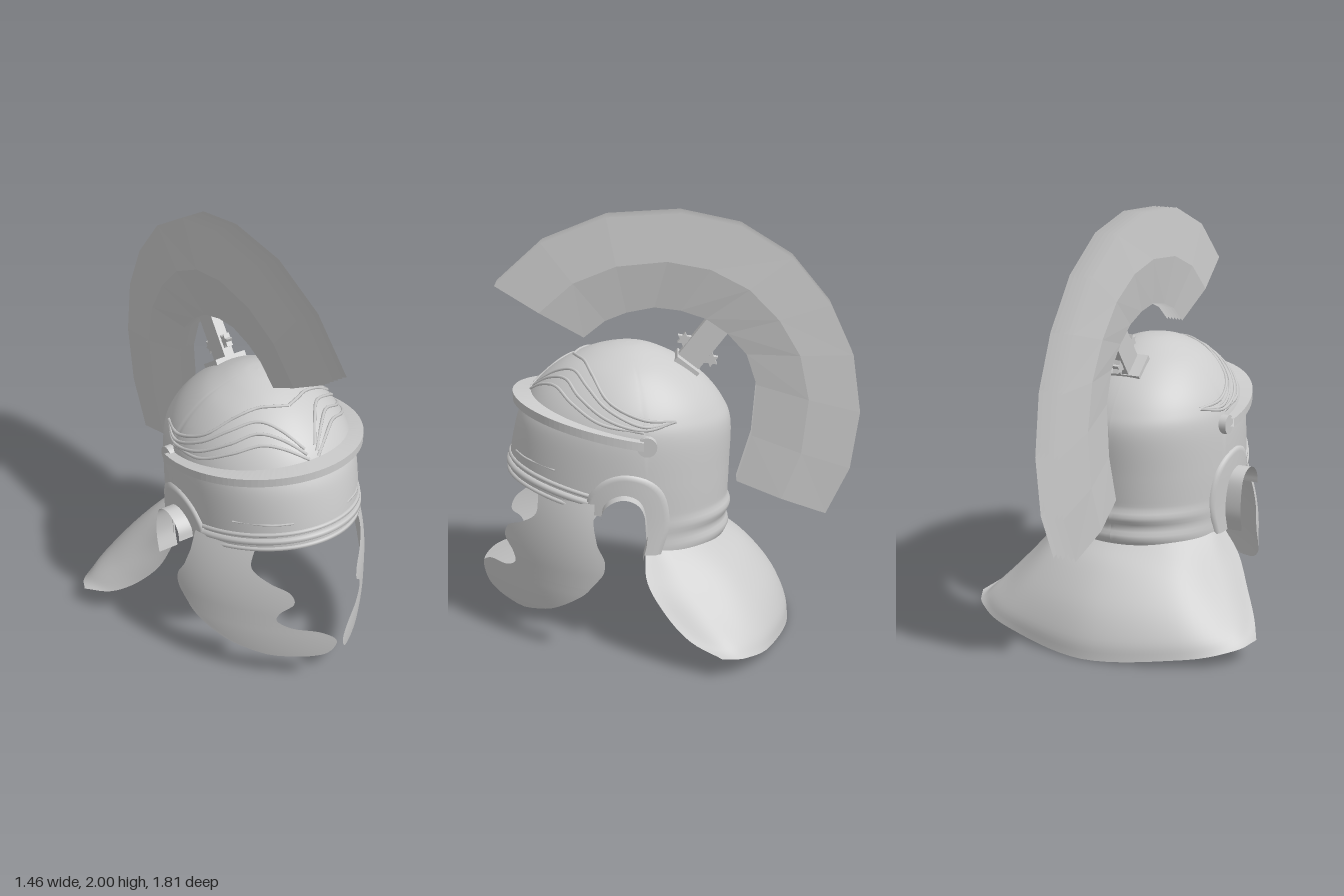
import * as THREE from 'three';

const V = (x, y, z) => new THREE.Vector3(x, y, z);
const mat = new THREE.MeshStandardMaterial({ color: 0xcccccc, side: THREE.DoubleSide });
const flatMat = new THREE.MeshStandardMaterial({ color: 0xcccccc, side: THREE.DoubleSide, flatShading: true });
const spline = pts => new THREE.CatmullRomCurve3(pts, false, 'catmullrom');

// Grid surface from a rule fn(u, v) -> Vector3
function grid(nu, nv, fn) {
  const pos = [], idx = [];
  for (let j = 0; j <= nv; j++) for (let i = 0; i <= nu; i++) pos.push(...fn(i / nu, j / nv).toArray());
  for (let j = 0; j < nv; j++) for (let i = 0; i < nu; i++) {
    const a = j * (nu + 1) + i, b = a + 1, c = a + nu + 1, d = c + 1;
    idx.push(a, b, d, a, d, c);
  }
  const g = new THREE.BufferGeometry();
  g.setAttribute('position', new THREE.Float32BufferAttribute(pos, 3));
  g.setIndex(idx);
  g.computeVertexNormals();
  return g;
}

// Bowl profile: height, front depth, back depth, half width (about z = 0.2)
const CZ = 0.2, TOP = 1.385;
const profile = [
  [0.44, 0.565, 0.46, 0.42], [0.6, 0.57, 0.475, 0.42], [0.8, 0.565, 0.485, 0.425], [1.0, 0.53, 0.49, 0.42],
  [1.1, 0.49, 0.455, 0.395], [1.2, 0.42, 0.38, 0.335], [1.29, 0.31, 0.27, 0.25], [1.35, 0.19, 0.16, 0.15],
  [1.378, 0.08, 0.075, 0.07], [TOP, 0, 0, 0],
];
const depthTable = spline(profile.map(p => V(p[1], p[0], p[2]))).getPoints(180);
const widthTable = spline(profile.map(p => V(p[3], p[0], 0))).getPoints(180);

function section(y) {
  let i = 0;
  while (i < 179 && depthTable[i + 1].y < y) i++;
  const a = depthTable[i], b = depthTable[i + 1];
  const t = THREE.MathUtils.clamp((y - a.y) / (b.y - a.y), 0, 1), mix = THREE.MathUtils.lerp;
  return { f: mix(a.x, b.x, t), b: mix(a.z, b.z, t), w: mix(widthTable[i].x, widthTable[i + 1].x, t) };
}

// Point on the bowl at angle a (0 = front, PI = back), pushed out by d; soft ribs cross the nape
function onBowl(a, y, d = 0) {
  const s = section(y), c = Math.cos(a);
  const rib = c < 0 && y < 0.65 ? 0.009 * c * c * (1 + Math.cos((y - 0.5) * 20 * Math.PI)) : 0;
  return V((s.w + d + rib) * Math.sin(a), y, CZ + c * ((c > 0 ? s.f : s.b) + d + rib));
}
function bowlX(z, y) {
  const s = section(y), k = (z - CZ) / (z > CZ ? s.f : s.b);
  return s.w * Math.sqrt(Math.max(0, 1 - k * k));
}

// Lower rim: sloping brow, ear arch, deep nape
const browY = z => 0.68 + (z - 0.38) * 0.23;
function rimY(z) {
  if (z > 0.31) return browY(z);
  if (z < 0.105) return 0.46;
  return 0.66 + 0.11 * Math.sqrt(Math.max(0, 1 - ((z - 0.205) / 0.105) ** 2));
}

export function createModel() {
  const root = new THREE.Group();
  const add = (name, geo, parent = root, m = mat) => {
    const mesh = new THREE.Mesh(geo, m);
    mesh.name = name;
    parent.add(mesh);
    return mesh;
  };
  const group = name => {
    const g = new THREE.Group();
    g.name = name;
    root.add(g);
    return g;
  };
  const ridge = (name, pts, r, parent) => add(name, new THREE.TubeGeometry(spline(pts), 48, r, 6), parent);

  // Bowl
  add('bowl', grid(144, 80, (u, v) => {
    const a = (u * 2 - 1) * Math.PI, low = rimY(onBowl(a, 0.7).z);
    return onBowl(a, low + (TOP - low) * Math.sin(v * Math.PI / 2));
  }));

  // Brow mouldings along the front rim
  const ridges = group('mouldings');
  for (const [h, r] of [[0.01, 0.012], [0.05, 0.018], [0.085, 0.012]]) {
    const pts = [];
    for (let i = -16; i <= 16; i++) {
      const a = i / 16 * 1.27;
      pts.push(onBowl(a, browY(onBowl(a, 0.75).z) + h, -0.002));
    }
    ridge('browMoulding', pts, r, ridges);
  }

  // Embossed eyebrows and short brow lines: [angle, height] paths on both sides
  const brows = [
    [[0, 1.325], [0.35, 1.33], [0.7, 1.325], [1.05, 1.29], [1.4, 1.19], [1.75, 1.12], [2.1, 1.1]],
    [[0.08, 1.2], [0.35, 1.27], [0.7, 1.29], [1.1, 1.24], [1.4, 1.16], [1.75, 1.09], [2.1, 1.1]],
    [[0.07, 1.18], [0.35, 1.24], [0.7, 1.255], [1.05, 1.2], [1.4, 1.12], [1.75, 1.075], [2.1, 1.1]],
    [[0.06, 1.16], [0.35, 1.21], [0.65, 1.22], [1.0, 1.17], [1.35, 1.1], [1.75, 1.065]],
    [[0.35, 0.895], [0.6, 0.885], [0.95, 0.865]],
  ];
  for (const s of [1, -1]) brows.forEach((path, i) =>
    ridge(i < 4 ? 'embossedEyebrow' : 'browLine', path.map(([a, y]) => onBowl(a * s, y, 0.001)), i < 4 ? 0.008 : 0.005, ridges));

  // Brow guard: a sloping bar of rectangular section, ending in round bosses
  const guard = group('browGuard');
  add('browBar', grid(64, 4, (u, v) => {
    const a = (u * 2 - 1) * 1.75, k = Math.round(v * 4) % 4;
    const c = Math.cos(a), out = k === 1 || k === 2;
    const p = V(0.46 * Math.sin(a), 0, CZ + c * (c > 0 ? 0.54 : 0.48));
    p.y = 0.99 + 0.2 * p.z + (k < 2 ? -0.02 : 0.02);
    if (!out) { const q = onBowl(a, p.y, -0.01); p.x = q.x; p.z = q.z; }
    return p;
  }).toNonIndexed(), guard, flatMat);
  for (const s of [1, -1]) {
    const boss = add('browBoss', new THREE.CylinderGeometry(0.046, 0.046, 0.06, 20), guard);
    boss.rotation.z = Math.PI / 2;
    boss.position.set(s * 0.405, 1.005, 0.1);
  }

  // Ear guards: raised flange on the bowl plus an arched lip
  const outer = spline([[0.38, 0.68], [0.37, 0.76], [0.3, 0.84], [0.2, 0.87], [0.09, 0.84], [0.02, 0.76], [0, 0.62], [0.04, 0.47]].map(([z, y]) => V(0, y, z)));
  const inner = spline([[0.31, 0.67], [0.3, 0.72], [0.26, 0.76], [0.2, 0.775], [0.14, 0.75], [0.11, 0.69], [0.1, 0.58], [0.12, 0.48]].map(([z, y]) => V(0, y, z)));
  for (const s of [1, -1]) {
    const ear = group(s > 0 ? 'leftEarGuard' : 'rightEarGuard');
    add('earFlange', grid(5, 40, (u, v) => {
      const p = outer.getPoint(v).lerp(inner.getPoint(v), u < 0.3 ? 0 : (u - 0.2) / 0.8);
      p.x = s * (bowlX(p.z, p.y) + (u < 0.1 ? -0.01 : 0.012));
      return p;
    }), ear);
    add('earLip', grid(2, 40, (u, v) => {
      const p = inner.getPoint(v);
      p.x = s * (0.4 + 0.1 * u);
      return p;
    }), ear);
  }

  // Neck guard: flaring sheet lofted through mirrored ribs, nape to rim
  const ribs = [
    [[0, 0.47, -0.262], [0, 0.385, -0.38], [0, 0.24, -0.5], [0, 0.1, -0.565], [0, 0, -0.58]],
    [[0.24, 0.48, -0.18], [0.32, 0.37, -0.29], [0.39, 0.24, -0.39], [0.44, 0.12, -0.455], [0.46, 0.04, -0.475]],
    [[0.375, 0.49, -0.005], [0.46, 0.36, -0.09], [0.555, 0.24, -0.19], [0.635, 0.14, -0.29], [0.665, 0.075, -0.35]],
    [[0.412, 0.49, 0.11], [0.495, 0.37, 0.1], [0.58, 0.24, 0.01], [0.66, 0.15, -0.1], [0.73, 0.1, -0.24]],
  ];
  const ribCurve = (r, s) => spline(r.map(([x, y, z]) => V(x * s, y, z)));
  const allRibs = [...ribs.slice(1).reverse().map(r => ribCurve(r, -1)), ...ribs.map(r => ribCurve(r, 1))];
  add('neckGuard', grid(48, 20, (u, v) => spline(allRibs.map(c => c.getPoint(v))).getPoint(u)));

  // Cheek guards: rows of [height, front z, rear z], bowed inwards at the chin
  const rows = [
    [0.73, 0.61, 0.34], [0.64, 0.62, 0.345], [0.58, 0.69, 0.335], [0.54, 0.76, 0.325], [0.48, 0.78, 0.295],
    [0.42, 0.74, 0.3], [0.37, 0.73, 0.335], [0.335, 0.78, 0.365], [0.325, 0.86, 0.37], [0.28, 0.905, 0.42],
    [0.2, 0.88, 0.54], [0.165, 0.82, 0.63], [0.148, 0.73, 0.69],
  ];
  const frontEdge = spline(rows.map(([y, f]) => V(0, y, f)));
  const rearEdge = spline(rows.map(([y, , r]) => V(0, y, r)));
  for (const s of [1, -1]) add(s > 0 ? 'leftCheekGuard' : 'rightCheekGuard', grid(16, 60, (u, v) => {
    const p = rearEdge.getPoint(v).lerp(frontEdge.getPoint(v), u);
    p.x = s * (0.505 - 0.2 * (p.z - 0.3) - 1.0 * (p.z - 0.3) ** 2 - 0.6 * Math.max(0, p.y - 0.4) ** 2 - 0.6 * Math.max(0, 0.3 - p.y) ** 2);
    return p;
  }));

  // Crest: thin arched plates, fanned out and bellied at mid height, [z, y] along both edges
  const crestOuter = [[0.81, 1.66], [0.59, 1.86], [0.29, 1.98], [-0.05, 2], [-0.33, 1.94], [-0.57, 1.79], [-0.75, 1.57], [-0.86, 1.33], [-0.9, 1.05], [-0.86, 0.77], [-0.75, 0.54]];
  const crestInner = [[0.4, 1.41], [0.3, 1.49], [0.2, 1.53], [0.07, 1.555], [-0.05, 1.54], [-0.17, 1.5], [-0.27, 1.43], [-0.36, 1.33], [-0.41, 1.18], [-0.39, 0.93], [-0.32, 0.7]];
  const crest = group('crest');
  for (const k of [-1, -0.6, -0.2, 0.2, 0.6, 1]) add('crestPlate', grid(10, 2, (u, v) => {
    const i = Math.round(u * 10), o = crestOuter[i], n = crestInner[i];
    return V(-0.012 + k * [0.04, 0.072, 0.055][Math.round(v * 2)], n[1] + (o[1] - n[1]) * v, n[0] + (o[0] - n[0]) * v);
  }), crest, flatMat);

  // Crest holder: base plate, post and star-shaped wing nuts
  const holder = group('crestHolder');
  holder.position.set(0, 1.28, -0.08);
  holder.rotation.x = -0.66;
  add('holderBase', new THREE.BoxGeometry(0.16, 0.03, 0.13), holder);
  add('holderPost', new THREE.BoxGeometry(0.05, 0.27, 0.12), holder).position.y = 0.13;
  const star = new THREE.Shape();
  for (let i = 0; i < 12; i++) {
    const r = i % 2 ? 0.02 : 0.036, a = i * Math.PI / 6;
    star[i ? 'lineTo' : 'moveTo'](r * Math.cos(a), r * Math.sin(a));
  }
  const starGeo = new THREE.ExtrudeGeometry(star, { depth: 0.03, bevelEnabled: false }).translate(0, 0, -0.015).rotateY(Math.PI / 2);
  for (const s of [1, -1]) add('wingNut', starGeo, holder).position.set(0, 0.085, s * 0.08);

  return root;
}
